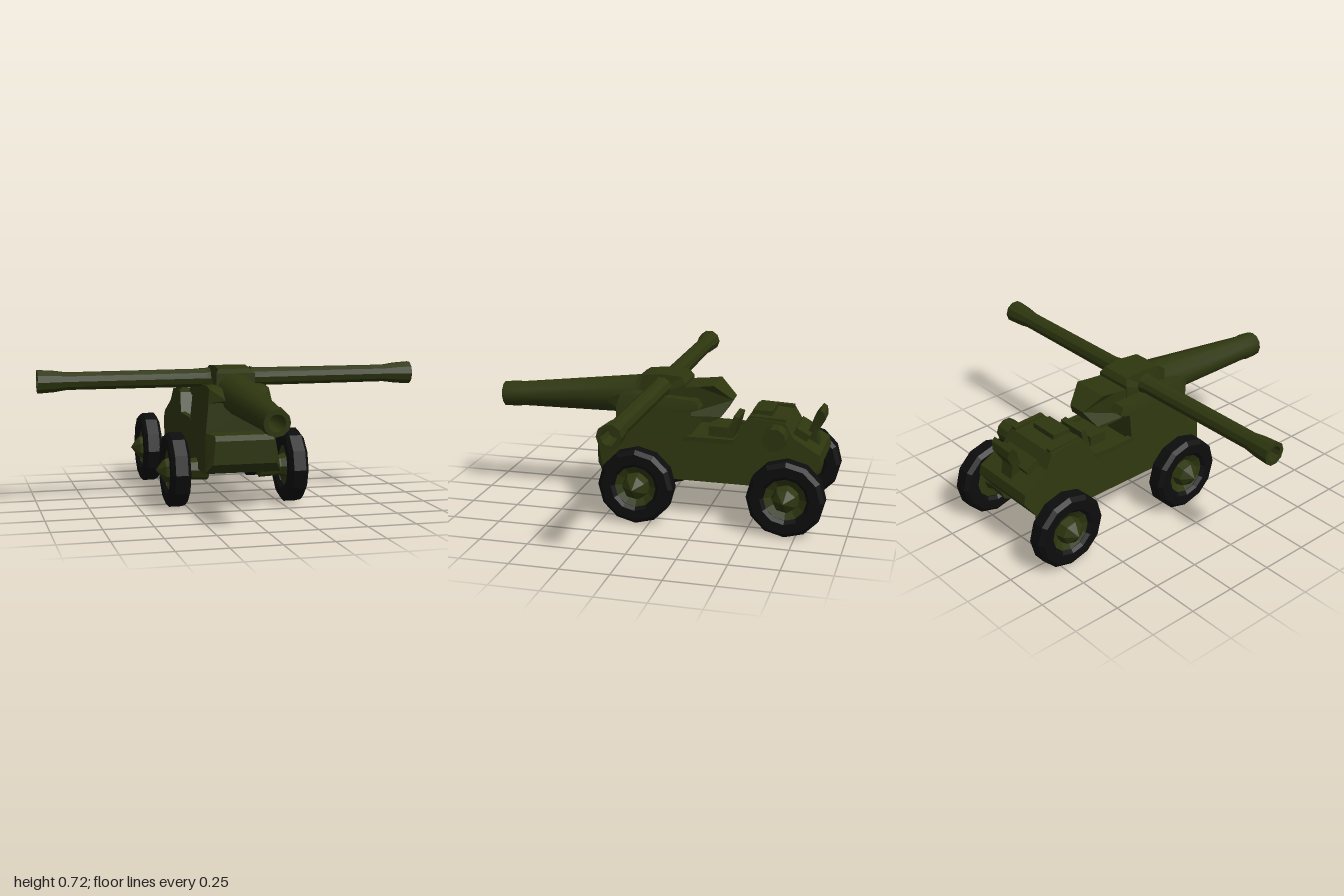
import * as THREE from 'three';
import { toCreasedNormals } from 'three/addons/utils/BufferGeometryUtils.js';

export function createModel() {
  const model = new THREE.Group();
  const olive = new THREE.MeshStandardMaterial({ color: 0x2e360f });
  const rubber = new THREE.MeshStandardMaterial({ color: 0x0d0d0d });
  olive.name = 'olive paint';
  rubber.name = 'black rubber';

  const add = (name, geo, mat = olive, parent = model, crease = 0.6) => {
    const mesh = new THREE.Mesh(toCreasedNormals(geo, crease), mat);
    mesh.name = name;
    parent.add(mesh);
    return mesh;
  };
  const lathe = (pts, sides) => new THREE.LatheGeometry(pts.map(p => new THREE.Vector2(...p)), sides);

  // Side profile of [z, y] points extruded across x; halfWidth may depend on y and z
  const sideProfile = (pts, halfWidth) => {
    const shape = new THREE.Shape(pts.map(p => new THREE.Vector2(...p)));
    const geo = new THREE.ExtrudeGeometry(shape, { depth: 2, bevelEnabled: false });
    geo.translate(0, 0, -1).rotateY(-Math.PI / 2);
    const p = geo.attributes.position;
    for (let i = 0; i < p.count; i++) p.setX(i, p.getX(i) * halfWidth(p.getY(i), p.getZ(i)));
    return geo;
  };
  const box = (w, h, d, x, y, z, tilt = 0) =>
    new THREE.BoxGeometry(w, h, d).rotateX(tilt).translate(x, y, z);

  // Hull: sides lean inward toward the top, nose and tail pinch slightly
  const hullWidth = (y, z) => 0.2 - 0.1 * (y - 0.2) - (z > 0.3 ? 0.03 : 0);
  add('hull', sideProfile([
    [0.28, 0.2], [0.32, 0.25], [0.325, 0.37], [0.3, 0.395], [0.22, 0.4], [0.22, 0.56],
    [-0.16, 0.55], [-0.16, 0.41], [-0.39, 0.405], [-0.46, 0.53], [-0.5, 0.545],
    [-0.66, 0.53], [-0.7, 0.46], [-0.84, 0.38], [-0.85, 0.33], [-0.77, 0.22], [-0.7, 0.2],
  ], hullWidth), olive, model, 0.3);

  // Rims along the open crew deck and seat
  for (const s of [-1, 1]) {
    add('deckRim', box(0.03, 0.025, 0.26, s * 0.165, 0.415, -0.27));
    add('engineRim', box(0.03, 0.02, 0.18, s * 0.14, 0.54, -0.57, -0.04));
  }
  add('seatBase', box(0.16, 0.06, 0.1, 0, 0.43, -0.3));
  add('seatBack', box(0.16, 0.12, 0.03, 0, 0.46, -0.38, -0.25));
  add('engineCover', box(0.16, 0.03, 0.1, 0, 0.55, -0.53));

  // Tail parts: flared upright bracket, its foot, and a side drum
  add('tailBracket', sideProfile(
    [[-0.74, 0.42], [-0.82, 0.38], [-0.805, 0.46], [-0.845, 0.53], [-0.84, 0.57], [-0.82, 0.585],
      [-0.79, 0.545], [-0.775, 0.5]],
    y => 0.04 + Math.max(0, y - 0.45) * 0.25));
  add('tailFoot', box(0.22, 0.06, 0.08, 0, 0.45, -0.73, -0.5));
  add('sideDrum', new THREE.CylinderGeometry(0.06, 0.06, 0.14, 10)
    .rotateZ(Math.PI / 2).translate(0.19, 0.465, -0.62));

  // Gun mount
  add('cradle', sideProfile(
    [[0.22, 0.55], [0.3, 0.57], [0.2, 0.62], [0.12, 0.63], [-0.2, 0.61], [-0.22, 0.57], [-0.16, 0.55]],
    (y, z) => z > 0.25 ? 0.09 : 0.168 - Math.max(0, y - 0.58) * 0.3));
  add('turretBlock', sideProfile(
    [[0.13, 0.56], [0.13, 0.69], [0.1, 0.71], [0, 0.72], [-0.11, 0.712], [-0.13, 0.68], [-0.13, 0.56]],
    y => y > 0.7 ? 0.085 : 0.103), olive, model, 0.3);
  add('breech', sideProfile(
    [[-0.1, 0.51], [-0.1, 0.66], [-0.2, 0.67], [-0.28, 0.68], [-0.37, 0.6], [-0.32, 0.52], [-0.29, 0.5]],
    (y, z) => z < -0.33 ? 0.05 : 0.1), olive, model, 0.3);

  // Long forward barrel, tapering down to a small flared muzzle
  const mainBarrel = add('mainBarrel', lathe([
    [0, -0.05], [0.104, 0], [0.066, 0.67], [0.07, 0.7], [0.066, 0.77], [0.042, 0.77], [0.034, 0.5], [0, 0.5],
  ], 12).rotateX(Math.PI / 2));
  mainBarrel.position.set(0, 0.588, 0.12);
  mainBarrel.rotation.x = 0.068;

  // Paired cross barrels, mirrored by a half turn
  for (const s of [1, -1]) {
    const barrel = add(s > 0 ? 'leftBarrel' : 'rightBarrel', lathe([
      [0, 0], [0.055, 0.01], [0.048, 0.04], [0.046, 0.75], [0.056, 0.82], [0.061, 0.9], [0.04, 0.9],
      [0.033, 0.8], [0, 0.8],
    ], 10).rotateZ(-Math.PI / 2));
    barrel.position.set(s * 0.1, 0.658, -0.005);
    barrel.rotation.y = s > 0 ? 0 : Math.PI;
  }

  // Wheels with faceted tyres, dished rims, pointed hubs and stub axles
  for (const s of [1, -1]) for (const z of [0.068, -0.697]) {
    const wheel = new THREE.Group();
    wheel.name = (z > 0 ? 'front' : 'rear') + (s > 0 ? 'Left' : 'Right') + 'Wheel';
    wheel.position.set(s * 0.31, 0.192, z);
    wheel.rotation.y = s > 0 ? 0 : Math.PI;
    model.add(wheel);
    const part = (name, pts, sides, mat) =>
      add(name, lathe(pts, sides).rotateZ(-Math.PI / 2), mat, wheel, 0.1);
    part('tyre', [[0.108, -0.035], [0.125, -0.05], [0.175, -0.05], [0.196, -0.032], [0.196, 0.032],
      [0.175, 0.05], [0.125, 0.05], [0.108, 0.035], [0.108, -0.035]], 12, rubber);
    part('rim', [[0, -0.03], [0.112, -0.03], [0.112, 0.035], [0.07, 0.01], [0, 0.01]], 12, olive);
    part('hub', [[0.075, 0], [0.06, 0.055], [0.035, 0.075], [0, 0.1]], 7, olive);
    part('axle', [[0, -0.17], [0.06, -0.17], [0.055, -0.06], [0.065, -0.03], [0, -0.03]], 8, olive);
  }
  return model;
}
